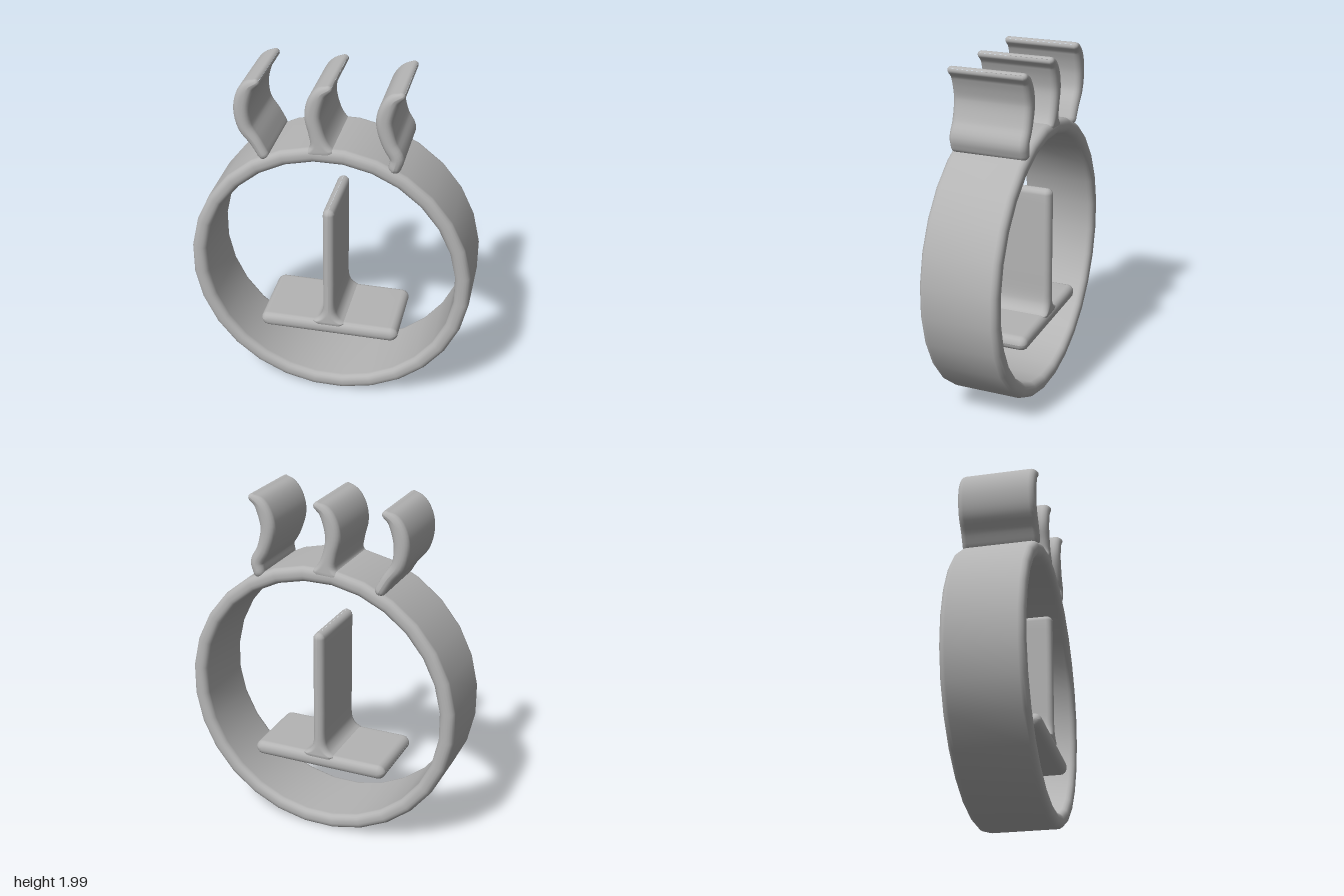
import * as THREE from 'three';

const HALF_DEPTH = 0.226, EDGE = 0.036, CORNER_STEPS = 4;

// Rounded-rectangle section: half width w, half depth d
function section(w, d) {
  const r = Math.min(EDGE, w), pts = [];
  [[1, 1, 0], [-1, 1, 1], [-1, -1, 2], [1, -1, 3]].forEach(([su, sz, q]) => {
    for (let k = 0; k <= CORNER_STEPS; k++) {
      const a = (q + k / CORNER_STEPS) * Math.PI / 2;
      pts.push([su * (w - r) + r * Math.cos(a), sz * (d - r) + r * Math.sin(a)]);
    }
  });
  return pts;
}

// Sweeps the section along a path in the xy plane; each path point is (x, y, half width)
function band(path, closed, depth = HALF_DEPTH) {
  const n = path.length, stations = [];
  path.forEach((p, i) => {
    const a = path[closed ? (i + n - 1) % n : Math.max(i - 1, 0)];
    const b = path[closed ? (i + 1) % n : Math.min(i + 1, n - 1)];
    const len = Math.hypot(b.x - a.x, b.y - a.y);
    stations.push({ x: p.x, y: p.y, w: p.z, d: depth, tx: (b.x - a.x) / len, ty: (b.y - a.y) / len });
  });
  if (closed) stations.push(stations[0]);
  else {
    // Rounded caps at both ends
    const cap = (s, dir) => [0.25, 0.5, 0.75, 1].map((f) => {
      const a = f * Math.PI / 2, reach = Math.min(s.w, 0.042) * Math.sin(a) * dir;
      return { ...s, x: s.x + s.tx * reach, y: s.y + s.ty * reach,
        w: Math.max(s.w * Math.cos(a), 0.0005), d: depth - Math.min(s.w, EDGE) * (1 - Math.cos(a)) };
    });
    const start = cap(stations[0], -1).reverse(), end = cap(stations[n - 1], 1);
    stations.unshift(...start);
    stations.push(...end);
  }
  const pos = [], index = [], m = 4 * (CORNER_STEPS + 1);
  for (const s of stations)
    for (const [u, z] of section(s.w, s.d)) pos.push(s.x - s.ty * u, s.y + s.tx * u, z);
  const rows = stations.length;
  for (let i = 0; i < rows - 1; i++)
    for (let j = 0; j < m; j++) {
      const a = i * m + j, b = i * m + (j + 1) % m;
      const next = closed && i === rows - 2 ? -i * m : m;
      index.push(a, b, a + next, b, b + next, a + next);
    }
  const g = new THREE.BufferGeometry();
  g.setAttribute('position', new THREE.Float32BufferAttribute(pos, 3));
  g.setIndex(index);
  g.computeVertexNormals();
  return g;
}

const smoothPath = (pts, steps) =>
  new THREE.CatmullRomCurve3(pts.map((p) => new THREE.Vector3(...p))).getPoints(steps);

export function createModel() {
  const model = new THREE.Group();
  const grey = new THREE.MeshStandardMaterial({ color: 0xb4b4b4 });
  grey.name = 'grey';
  const add = (name, geometry) => {
    const mesh = new THREE.Mesh(geometry, grey);
    mesh.name = name;
    model.add(mesh);
  };

  // Ring, slightly faceted, with a flat side at the bottom
  const sides = 28, ring = [];
  for (let i = 0; i < sides; i++) {
    const a = (i + 0.5) / sides * Math.PI * 2 - Math.PI / 2;
    ring.push(new THREE.Vector3(0.768 * Math.cos(a), 0.813 + 0.771 * Math.sin(a), 0.044));
  }
  add('ring', band(ring, true));

  // Upright plate flaring into a flat base
  add('base', band(smoothPath([[-0.367, 0.442, 0.043], [0, 0.442, 0.043], [0.367, 0.442, 0.043]], 8), false));
  add('upright', band(smoothPath([[0, 0.478, 0.1], [0, 0.5, 0.065], [0, 0.53, 0.045],
    [0, 0.57, 0.036], [0, 0.75, 0.034], [0, 1.206, 0.034]], 40), false, HALF_DEPTH - 0.002));

  // Three curls share the upper curve; each has its own foot
  const curl = [[-0.475, 1.8, 0.045], [-0.461, 1.88, 0.045], [-0.428, 1.943, 0.037], [-0.388, 1.972, 0.022]];
  const curls = [
    ['rightCurl', 0, [[-0.362, 1.55, 0.032], [-0.402, 1.62, 0.034], [-0.458, 1.7, 0.04]]],
    ['middleCurl', 0.39, [[-0.045, 1.6, 0.085], [-0.05, 1.64, 0.052], [-0.068, 1.71, 0.042]]],
    ['leftCurl', 0.775, [[0.362, 1.55, 0.035], [0.372, 1.605, 0.039], [0.332, 1.68, 0.04]]],
  ];
  for (const [name, dx, foot] of curls)
    add(name, band(smoothPath([...foot, ...curl.map(([x, y, w]) => [x + dx, y, w])], 24), false));

  return model;
}
